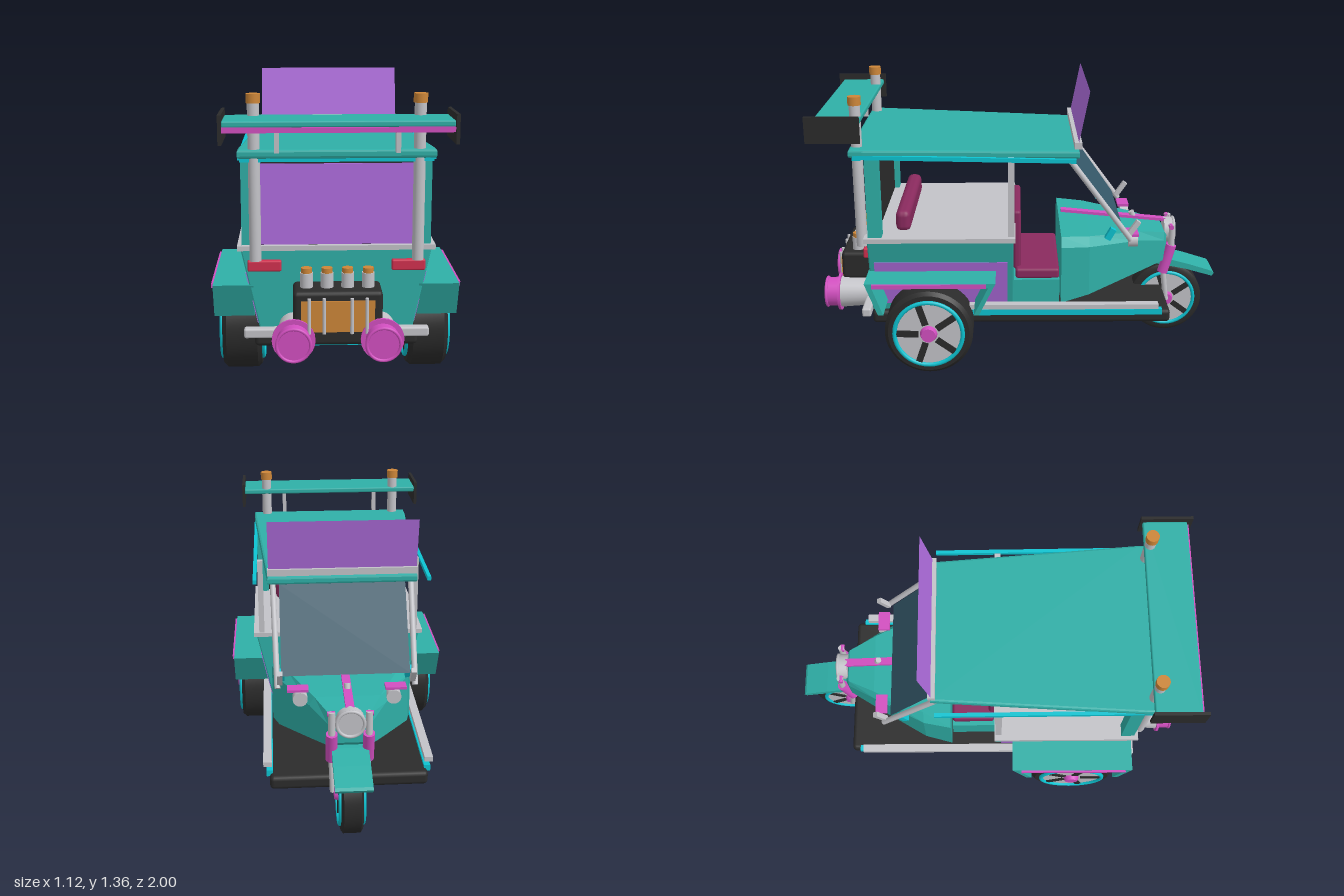
import * as THREE from 'three';
import { toCreasedNormals } from 'three/addons/utils/BufferGeometryUtils.js';
import { RoundedBoxGeometry } from 'three/addons/geometries/RoundedBoxGeometry.js';

const mat = (name, color, side = THREE.FrontSide) => {
  const m = new THREE.MeshStandardMaterial({ color, side });
  m.name = name;
  return m;
};

export function createModel() {
  const root = new THREE.Group();
  root.name = 'threeWheeledTaxi';
  const teal = mat('teal', 0x2fafa7), cyan = mat('cyan', 0x0cc4d2), dark = mat('black', 0x2b2b2b);
  const purple = mat('purple', 0xb06ddf, THREE.DoubleSide), pink = mat('magenta', 0xd24fc0);
  const silver = mat('silver', 0xc3c3c8), orange = mat('copper', 0xcd8638), red = mat('red', 0xd2304f);
  const maroon = mat('maroon', 0x8a2a5e), glass = mat('tintedGlass', 0x35596a, THREE.DoubleSide);

  const add = (name, geo, m, parent = root) => {
    const mesh = new THREE.Mesh(geo, m);
    mesh.name = name;
    parent.add(mesh);
    return mesh;
  };
  // box given by its ranges on each axis, optionally rounded
  const box = (name, m, [x0, x1], [y0, y1], [z0, z1], r = 0, parent = root) => {
    const s = [x1 - x0, y1 - y0, z1 - z0];
    const g = r ? new RoundedBoxGeometry(...s, 2, r) : new THREE.BoxGeometry(...s);
    const mesh = add(name, g, m, parent);
    mesh.position.set((x0 + x1) / 2, (y0 + y1) / 2, (z0 + z1) / 2);
    return mesh;
  };
  // rod from point a (radius ra) to point b (radius rb)
  const rod = (name, m, a, b, ra, rb = ra, parent = root) => {
    const p = new THREE.Vector3(...a), q = new THREE.Vector3(...b), d = q.clone().sub(p);
    const mesh = add(name, new THREE.CylinderGeometry(rb, ra, d.length(), 24), m, parent);
    mesh.position.copy(p).add(q).multiplyScalar(0.5);
    mesh.quaternion.setFromUnitVectors(new THREE.Vector3(0, 1, 0), d.normalize());
    return mesh;
  };
  const poly = pts => new THREE.Shape(pts.map(p => new THREE.Vector2(...p)));
  const extrude = (pts, depth, bevel = 0) => new THREE.ExtrudeGeometry(poly(pts), {
    depth, bevelEnabled: bevel > 0, bevelSize: bevel, bevelThickness: bevel, bevelSegments: 2, bevelOffset: -bevel,
  });
  // profile of [z, y] points swept from x0 to x1
  const sweepX = (name, m, pts, x0, x1) => {
    const g = extrude(pts.map(([z, y]) => [-z, y]), x1 - x0);
    g.rotateY(Math.PI / 2).translate(x0, 0, 0);
    return add(name, g, m);
  };
  const both = fn => [-1, 1].forEach(fn);
  const span = (s, a, b) => s > 0 ? [a, b] : [-b, -a];

  // wheels: lathed tyre, bright rim, light disc with dark spokes, hub
  const wheel = (name, x, y, z, R, w) => {
    const g = new THREE.Group();
    g.name = name;
    const h = w / 2, prof = [[R * 0.8, -h], [R * 0.92, -h], [R, -h * 0.8], [R, h * 0.8], [R * 0.92, h], [R * 0.8, h]];
    const tyre = new THREE.LatheGeometry(prof.map(p => new THREE.Vector2(...p)), 48);
    add('tyre', toCreasedNormals(tyre, 0.6), dark, g);
    add('wheelDisc', new THREE.CylinderGeometry(R * 0.78, R * 0.78, w + 0.004, 40), silver, g);
    both(s => {
      const rim = add('rim', new THREE.TorusGeometry(R * 0.77, R * 0.05, 8, 40), cyan, g);
      rim.rotation.x = Math.PI / 2;
      rim.position.y = s * (h + 0.004);
      for (let i = 0; i < 5; i++) {
        const a = i * Math.PI * 2 / 5 + 0.3;
        const spoke = add('spoke', new THREE.BoxGeometry(R * 0.5, 0.008, R * 0.15), dark, g);
        spoke.position.set(Math.cos(a) * R * 0.48, s * (h + 0.004), Math.sin(a) * R * 0.48);
        spoke.rotation.y = -a;
      }
      rod('hub', pink, [0, s * h, 0], [0, s * (h + 0.025), 0], R * 0.2, R * 0.16, g);
    });
    g.rotation.z = Math.PI / 2;
    g.position.set(x, y, z);
    root.add(g);
  };
  both(s => wheel('rearWheel', s * 0.433, 0.214, 0.455, 0.214, 0.18));
  wheel('frontWheel', 0, 0.187, -0.76, 0.187, 0.1);
  rod('rearAxle', dark, [-0.36, 0.214, 0.455], [0.36, 0.214, 0.455], 0.03);

  // chassis, underplate and running boards
  box('floor', dark, [-0.37, 0.37], [0.195, 0.262], [-0.735, 0.745], 0.02);
  box('underplate', cyan, [-0.29, 0.29], [0.181, 0.196], [-0.6, 0.7]);
  both(s => {
    box('sillTrim', cyan, span(s, 0.355, 0.385), [0.245, 0.275], [-0.69, 0.3]);
    box('runningBoard', silver, span(s, 0.36, 0.4), [0.283, 0.307], [-0.67, 0.3]);
  });
  box('rearBumper', silver, [-0.415, 0.415], [0.25, 0.295], [0.745, 0.79], 0.01);

  // rear body with tapering sides and purple panels
  const sideX = y => 0.34 + (y - 0.26) * 0.22;
  const body = extrude([[-0.34, 0.26], [0.34, 0.26], [0.425, 0.65], [-0.425, 0.65]], 0.69, 0.006);
  body.translate(0, 0, 0.05);
  add('rearBody', body, teal);
  both(s => {
    const pts = [[sideX(0.3), 0.3], [sideX(0.3) + 0.006, 0.3], [sideX(0.535) + 0.006, 0.535], [sideX(0.535), 0.535]];
    const g = extrude(pts.map(([x, y]) => [s * x, y]), 0.645);
    g.translate(0, 0, 0.075);
    add('sidePanel', g, purple);
    box('tailLight', red, span(s, 0.245, 0.395), [0.555, 0.605], [0.74, 0.77], 0.008);
  });
  box('beltDeck', silver, [-0.44, 0.44], [0.648, 0.67], [0.035, 0.76]);
  box('rearSeatBack', maroon, [-0.32, 0.32], [0.66, 0.767], [0.545, 0.618], 0.03);

  // rear fenders: flat top with flaps slanting in towards the wheel
  both(s => {
    const [a, b] = span(s, 0.37, 0.553);
    sweepX('rearFender', teal, [[0.75, 0.487], [0.13, 0.487], [0.21, 0.325], [0.235, 0.325],
      [0.165, 0.465], [0.715, 0.465], [0.665, 0.325], [0.69, 0.325]], a, b);
    box('fenderTrim', pink, span(s, 0.551, 0.562), [0.466, 0.486], [0.175, 0.715]);
  });

  // driver's seat
  box('seatBase', teal, [-0.28, 0.28], [0.26, 0.39], [-0.185, 0.06]);
  box('seatCushion', maroon, [-0.26, 0.26], [0.385, 0.44], [-0.185, 0.035], 0.015);
  box('seatBackrest', maroon, [-0.22, 0.22], [0.42, 0.732], [0.008, 0.045], 0.014);

  // front cowl lofted from cross-sections narrowing to the nose: z, half width, bottom, top
  const rings = [[-0.19, 0.35, 0.295, 0.627], [-0.33, 0.32, 0.327, 0.62], [-0.59, 0.18, 0.388, 0.6], [-0.73, 0.1, 0.42, 0.57], [-0.745, 0.075, 0.44, 0.55]]
    .map(([z, w, b, t]) => [[-w, b, z], [w, b, z], [w, t - 0.04, z], [w * 0.86, t, z], [-w * 0.86, t, z], [-w, t - 0.04, z]]);
  const pos = [], n = 6;
  const tri = (...p) => p.forEach(v => pos.push(...v));
  rings.slice(1).forEach((far, i) => {
    const near = rings[i];
    for (let j = 0; j < n; j++) {
      const k = (j + 1) % n;
      tri(near[j], far[j], near[k]);
      tri(near[k], far[j], far[k]);
    }
  });
  for (let j = 1; j < n - 1; j++) {
    tri(rings[0][0], rings[0][j], rings[0][j + 1]);
    const e = rings[rings.length - 1];
    tri(e[0], e[j + 1], e[j]);
  }
  const cowl = new THREE.BufferGeometry();
  cowl.setAttribute('position', new THREE.Float32BufferAttribute(pos, 3));
  cowl.computeVertexNormals();
  add('frontCowl', cowl, teal);
  sweepX('cowlSpine', pink, [[-0.2, 0.672], [-0.2, 0.658], [-0.745, 0.605], [-0.745, 0.619]], -0.02, 0.02);
  rod('spineKnob', silver, [0, 0.63, -0.575], [0, 0.655, -0.565], 0.015);

  // headlamps, visors and dash brackets
  rod('headlamp', silver, [0, 0.555, -0.735], [0, 0.555, -0.785], 0.066);
  const bezel = add('headlampBezel', new THREE.TorusGeometry(0.063, 0.008, 8, 32), silver);
  bezel.position.set(0, 0.555, -0.785);
  both(s => {
    rod('sideLamp', silver, [s * 0.22, 0.58, -0.53], [s * 0.22, 0.58, -0.575], 0.035);
    box('lampVisor', pink, span(s, 0.18, 0.28), [0.618, 0.63], [-0.575, -0.515]);
    box('mirrorStalk', silver, span(s, 0.3, 0.325), [0.635, 0.72], [-0.555, -0.53]).rotation.x = -0.6;
    box('dashBracket', cyan, span(s, 0.29, 0.32), [0.615, 0.675], [-0.445, -0.415]).rotation.x = -0.5;
    rod('indicatorLamp', pink, [s * 0.07, 0.6, -0.765], [s * 0.105, 0.6, -0.765], 0.012);
    // fork
    rod('forkUpper', silver, [s * 0.085, 0.61, -0.77], [s * 0.085, 0.48, -0.77], 0.016);
    rod('forkSleeve', pink, [s * 0.085, 0.5, -0.77], [s * 0.085, 0.35, -0.73], 0.027);
    rod('forkLower', silver, [s * 0.085, 0.36, -0.733], [s * 0.08, 0.19, -0.755], 0.014);
  });
  // front mudguard
  sweepX('frontFender', teal, [[-0.7, 0.425], [-0.7, 0.395], [-0.85, 0.365], [-0.99, 0.325], [-1, 0.34],
    [-0.99, 0.352], [-0.87, 0.39], [-0.76, 0.42]], -0.085, 0.085);

  // cabin: pillars, rear window, windscreen
  both(s => {
    box('rearPillar', teal, span(s, 0.36, 0.42), [0.665, 1.07], [0.675, 0.74]);
    box('middlePillar', silver, span(s, 0.385, 0.412), [0.665, 1.06], [0.04, 0.07]);
    rod('windscreenPillar', silver, [s * 0.325, 0.62, -0.53], [s * 0.335, 1.05, -0.21], 0.014);
    box('roofRail', cyan, span(s, 0.412, 0.43), [1.05, 1.07], [-0.25, 0.79]).rotation.x = -0.02;
  });
  box('rearPanel', dark, [-0.37, 0.37], [0.665, 1.062], [0.7, 0.735]);
  box('rearWindow', purple, [-0.365, 0.365], [0.672, 1.035], [0.735, 0.741]);
  const screen = add('windscreen', new THREE.PlaneGeometry(0.61, 0.45), glass);
  screen.position.set(0, 0.85, -0.365);
  screen.rotation.x = 0.607;

  // tapered roof, sloping down to the front
  const roof = extrude([[-0.43, -0.81], [0.43, -0.81], [0.43, -0.74], [0.36, 0.27], [-0.36, 0.27], [-0.43, -0.74]], 0.018, 0.011);
  roof.rotateX(-Math.PI / 2);
  const rp = roof.attributes.position;
  for (let i = 0; i < rp.count; i++) rp.setY(i, rp.getY(i) + 1.058 + rp.getZ(i) * 0.026);
  roof.computeVertexNormals();
  add('roof', roof, teal);
  box('rearRoofTrim', cyan, [-0.42, 0.42], [1.052, 1.07], [0.755, 0.795]);
  box('signBar', silver, [-0.36, 0.36], [1.088, 1.12], [-0.28, -0.245]);
  const sign = add('roofSign', new THREE.PlaneGeometry(0.71, 0.262), purple);
  sign.position.set(0, 1.235, -0.287);
  sign.rotation.x = -0.19;

  // exhaust stacks and rear wing
  both(s => {
    rod('stack', silver, [s * 0.358, 0.61, 0.778], [s * 0.358, 1.31, 0.778], 0.026);
    rod('stackCap', orange, [s * 0.358, 1.305, 0.778], [s * 0.358, 1.345, 0.778], 0.031);
    box('wingSupport', silver, span(s, 0.248, 0.268), [1.1, 1.225], [0.81, 0.86]);
    box('wingEndplate', dark, span(s, 0.48, 0.495), [1.155, 1.28], [0.74, 0.99]);
  });
  box('wing', teal, [-0.483, 0.483], [1.224, 1.252], [0.75, 0.965], 0.008);
  box('wingTrim', pink, [-0.483, 0.483], [1.204, 1.226], [0.945, 0.975]);

  // engine with grille, pipes and intakes
  box('engineBlock', dark, [-0.195, 0.195], [0.36, 0.505], [0.74, 0.915], 0.02);
  box('engineSump', dark, [-0.15, 0.15], [0.29, 0.37], [0.74, 0.91]);
  box('engineGrille', orange, [-0.16, 0.16], [0.325, 0.465], [0.9, 0.922]);
  for (const x of [-0.125, -0.06, 0.06, 0.125]) rod('enginePipe', silver, [x, 0.32, 0.928], [x, 0.48, 0.928], 0.008);
  for (let i = 0; i < 4; i++) {
    const x = -0.135 + i * 0.09;
    rod('intake', silver, [x, 0.495, 0.835], [x, 0.57, 0.835], 0.028);
    rod('intakeCap', orange, [x, 0.568, 0.835], [x, 0.592, 0.835], 0.024);
  }
  // large tail exhausts
  both(s => {
    const x = s * 0.193, y = 0.292;
    rod('exhaustBody', silver, [x, y, 0.74], [x, y, 0.93], 0.066, 0.08);
    rod('exhaustFlange', pink, [x, y, 0.92], [x, y, 0.932], 0.095);
    rod('exhaustTip', pink, [x, y, 0.93], [x, y, 0.99], 0.074);
    const lip = add('exhaustLip', new THREE.TorusGeometry(0.073, 0.007, 8, 32), pink);
    lip.position.set(x, y, 0.992);
  });
  return root;
}
